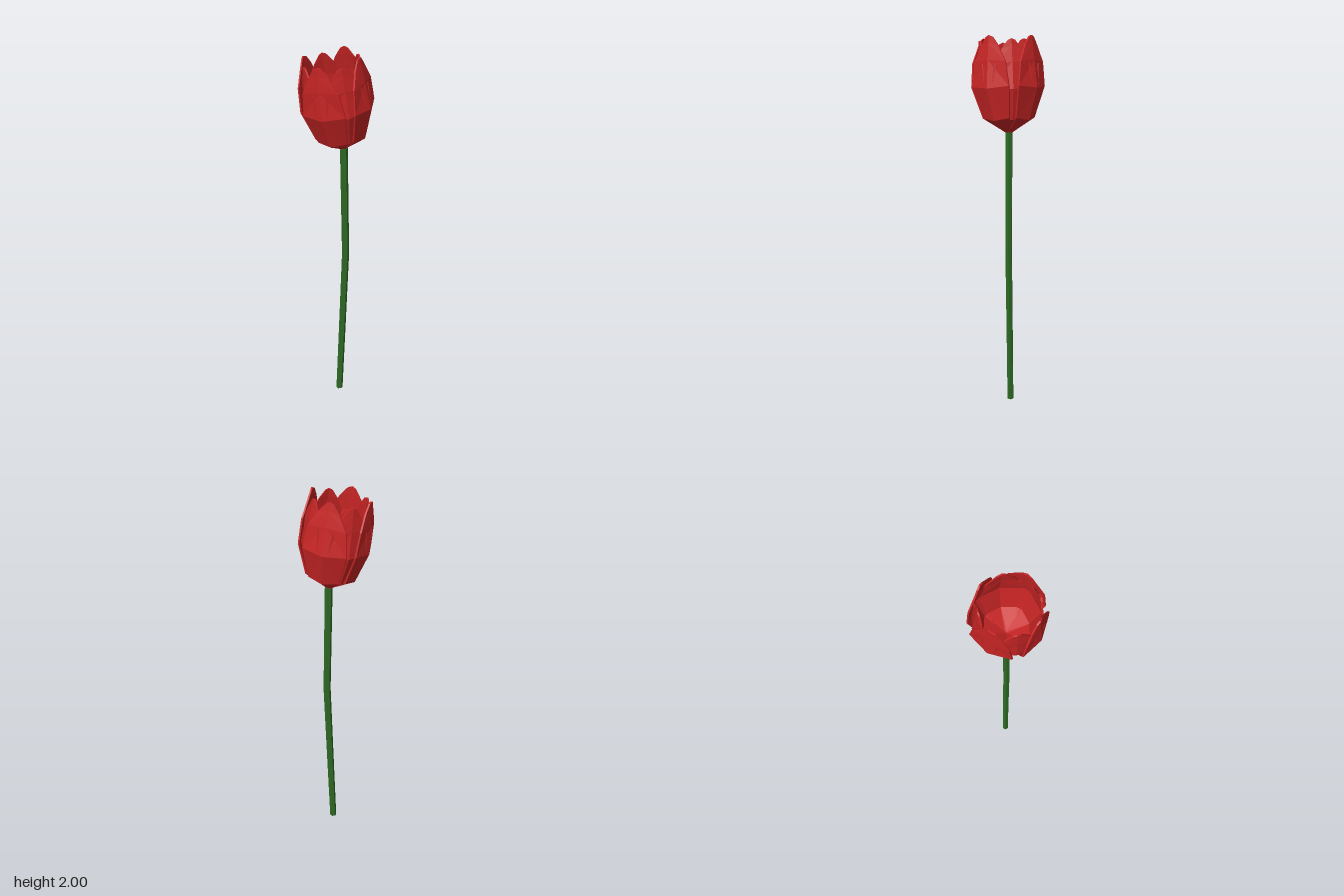
import * as THREE from 'three';

const petalRed = new THREE.MeshStandardMaterial({ color: 0xc62424, flatShading: true });
petalRed.name = 'petal red';
const stemGreen = new THREE.MeshStandardMaterial({ color: 0x2e6a24, flatShading: true });
stemGreen.name = 'stem green';

// Petal rows from base to tip: [midrib y, midrib radius, edge y, edge radius, half width]
const ROWS = [
  [0.0, 0.0, 0.002, 0.0, 0.012],
  [0.07, 0.128, 0.082, 0.106, 0.08],
  [0.23, 0.18, 0.24, 0.15, 0.113],
  [0.37, 0.166, 0.36, 0.153, 0.096],
  [0.45, 0.158, 0.44, 0.15, 0.052],
  [0.49, 0.155, 0.482, 0.152, 0.02],
];
const THICK = 0.008;

// Cupped, closed petal shell facing +z, folded along its midrib
function petalGeometry() {
  const pos = [], index = [];
  const n = ROWS.length;
  for (const inner of [0, 1]) {
    ROWS.forEach(([yc, rc, ye, re, w], i) => {
      const dr = inner * THICK * (i === 0 ? 0 : 1);
      const dy = inner * THICK * (i < 2 ? 1 : 0);
      pos.push(-w, ye + dy, re - dr, 0, yc + dy, rc - dr, w, ye + dy, re - dr);
    });
  }
  const id = (side, row, col) => side * n * 3 + row * 3 + col;
  const quad = (a, b, c, d) => index.push(a, b, c, a, c, d);
  for (let i = 0; i < n - 1; i++) {
    for (let j = 0; j < 2; j++) {
      // mirror the diagonals about the midrib
      const o = [id(0, i, j), id(0, i, j + 1), id(0, i + 1, j + 1), id(0, i + 1, j)];
      const k = [id(1, i, j + 1), id(1, i, j), id(1, i + 1, j), id(1, i + 1, j + 1)];
      if (j === 0) { quad(...o); quad(k[1], k[2], k[3], k[0]); }
      else { quad(o[1], o[2], o[3], o[0]); quad(...k); }
    }
    // side rims
    quad(id(0, i, 2), id(1, i, 2), id(1, i + 1, 2), id(0, i + 1, 2));
    quad(id(1, i, 0), id(0, i, 0), id(0, i + 1, 0), id(1, i + 1, 0));
  }
  // tip and base rims
  for (let j = 0; j < 2; j++) {
    quad(id(0, n - 1, j), id(0, n - 1, j + 1), id(1, n - 1, j + 1), id(1, n - 1, j));
    quad(id(1, 0, j), id(1, 0, j + 1), id(0, 0, j + 1), id(0, 0, j));
  }
  const g = new THREE.BufferGeometry();
  g.setAttribute('position', new THREE.Float32BufferAttribute(pos, 3));
  g.setIndex(index);
  g.computeVertexNormals();
  return g;
}

// Six-sided stem bent along a few centre points: [x, z] at each height
function stemGeometry() {
  const centres = [[0.005, -0.016], [0.021, -0.021], [0.036, -0.025], [0.026, -0.02]];
  const heights = [0, 0.46, 0.9, 1.51];
  const g = new THREE.CylinderGeometry(0.02, 0.018, 3, 6, 3);
  const p = g.attributes.position;
  for (let i = 0; i < p.count; i++) {
    const k = Math.round(p.getY(i) + 1.5);
    p.setXYZ(i, p.getX(i) + centres[k][0], heights[k], p.getZ(i) + centres[k][1]);
  }
  g.computeVertexNormals();
  return g;
}

export function createModel() {
  const model = new THREE.Group();
  model.name = 'tulip';

  const stem = new THREE.Mesh(stemGeometry(), stemGreen);
  stem.name = 'stem';
  model.add(stem);

  // Flower head, leaning slightly on the stem
  const flower = new THREE.Group();
  flower.name = 'flower';
  flower.position.set(0.025, 1.5, -0.02);
  flower.rotation.set(0.098, 0, 0.098);
  model.add(flower);

  const petal = petalGeometry();
  for (let i = 0; i < 8; i++) {
    const inner = i % 2 === 1;
    const mesh = new THREE.Mesh(petal, petalRed);
    mesh.name = inner ? 'innerPetal' : 'outerPetal';
    mesh.rotation.y = (i * Math.PI) / 4;
    if (inner) {
      mesh.scale.set(0.93, 0.95, 0.93);
      mesh.position.y = 0.006;
    }
    flower.add(mesh);
  }
  return model;
}
